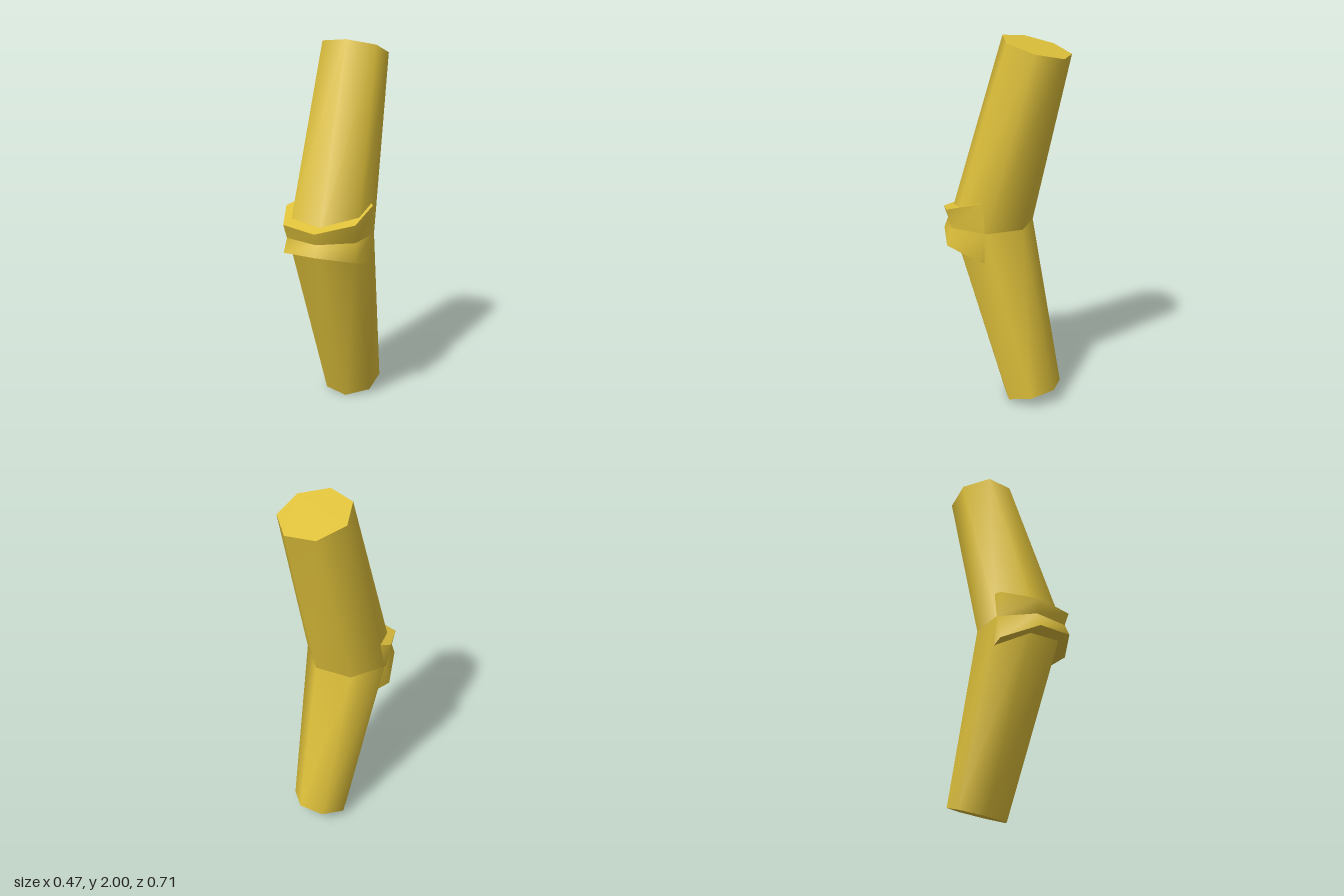
import * as THREE from 'three';

const SIDES = 7;
const CENTRE_X = 0.012;

// Seven-sided ring; tilt leans its plane, positive raising the front edge.
function ringPoints({ r, y, z, tilt }) {
  return Array.from({ length: SIDES }, (_, i) => {
    const a = (2 * i + 1) * Math.PI / SIDES;
    const d = r * Math.sin(a);
    return [CENTRE_X + r * Math.cos(a), y + d * Math.sin(tilt), z + d * Math.cos(tilt)];
  });
}

function makeGeometry(points, index) {
  const g = new THREE.BufferGeometry();
  g.setAttribute('position', new THREE.Float32BufferAttribute(points.flat(), 3));
  g.setIndex(index);
  g.computeVertexNormals();
  return g;
}

// Smooth wall between a lower and an upper ring
function wall(lower, upper) {
  const index = [];
  for (let i = 0; i < SIDES; i++) {
    const j = (i + 1) % SIDES;
    index.push(i, SIDES + i, j, SIDES + i, SIDES + j, j);
  }
  return makeGeometry([...ringPoints(lower), ...ringPoints(upper)], index);
}

// Flat end face on a ring, facing up or down
function cap(ring, up) {
  const index = [];
  for (let i = 1; i < SIDES - 1; i++) index.push(0, ...(up ? [i + 1, i] : [i, i + 1]));
  return makeGeometry(ringPoints(ring), index);
}

export function createModel() {
  const model = new THREE.Group();
  model.name = 'jointedStalk';
  const yellow = new THREE.MeshStandardMaterial({ color: 0xdfc13b });
  yellow.name = 'stalk yellow';

  const add = (name, geometry) => {
    const mesh = new THREE.Mesh(geometry, yellow);
    mesh.name = name;
    model.add(mesh);
  };

  // Stalk rings: tapered ends and the wide bend
  const bottom = { r: 0.163, y: 0.05, z: -0.182, tilt: -0.287 };
  const bend = { r: 0.235, y: 1.0, z: 0.088, tilt: 0 };
  const top = { r: 0.185, y: 1.95, z: -0.186, tilt: 0.287 };

  // Collar rings: narrow waist with lips flaring away from it
  const lowerLip = { r: 0.246, y: 0.87, z: 0.125, tilt: 0.29 };
  const waist = { r: 0.236, y: 1.0, z: 0.1, tilt: 0 };
  const upperLip = { r: 0.246, y: 1.13, z: 0.125, tilt: -0.29 };

  add('lowerStalk', wall(bottom, bend));
  add('upperStalk', wall(bend, top));
  add('stalkBottom', cap(bottom, false));
  add('stalkTop', cap(top, true));

  add('lowerCollar', wall(lowerLip, waist));
  add('upperCollar', wall(waist, upperLip));
  add('lowerCollarRim', cap(lowerLip, false));
  add('upperCollarRim', cap(upperLip, true));

  return model;
}
